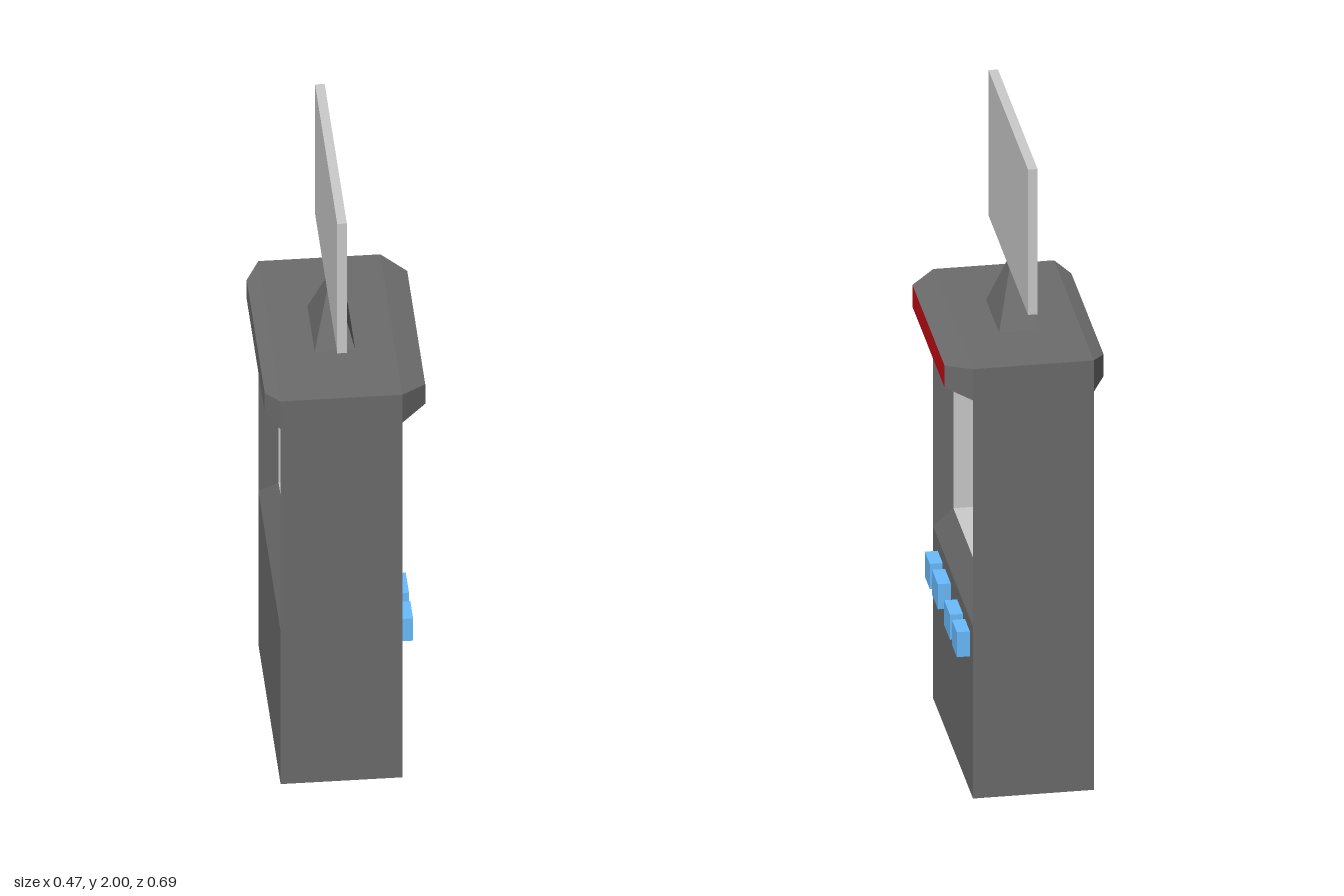
import * as THREE from 'three';

const paint = (color) => new THREE.MeshStandardMaterial({ color, flatShading: true });
const dark = paint(0x6c6c6c), light = paint(0xcccccc), red = paint(0xc30d12), blue = paint(0x69bdff);

// Rectangle in the plane x, corners counter-clockwise seen from +x
const section = (x, y0, y1, z0, z1) =>
  [[x, y0, z1], [x, y0, z0], [x, y1, z0], [x, y1, z1]];

// Four quads joining two sections: they face outward when a has the lower x, inward otherwise
const band = (a, b) => a.map((p, i) => [p, a[(i + 1) % 4], b[(i + 1) % 4], b[i]]);

function quadMesh(name, quads, material) {
  const pos = quads.flatMap(([a, b, c, d]) => [a, b, c, a, c, d]).flat();
  const g = new THREE.BufferGeometry();
  g.setAttribute('position', new THREE.Float32BufferAttribute(pos, 3));
  g.computeVertexNormals();
  const mesh = new THREE.Mesh(g, material);
  mesh.name = name;
  return mesh;
}

function box(name, x0, x1, y0, y1, z0, z1, material) {
  const mesh = new THREE.Mesh(new THREE.BoxGeometry(x1 - x0, y1 - y0, z1 - z0), material);
  mesh.position.set((x0 + x1) / 2, (y0 + y1) / 2, (z0 + z1) / 2);
  mesh.name = name;
  return mesh;
}

export function createModel() {
  const model = new THREE.Group();
  model.name = 'kiosk';
  const X0 = -0.195, X1 = 0.16, H = 1.375, Z = 0.345;

  // Cabinet: outer shell plus the flat panels below the window
  const panel = (x) => section(x, 0, 0.55, -Z, Z);
  model.add(quadMesh('cabinet', [
    ...band(section(X0, 0, H, -Z, Z), section(X1, 0, H, -Z, Z)),
    panel(X1), panel(X0).reverse(),
  ], dark));

  // Window: bevelled frame on both faces, pale tunnel between them
  const rim = (x) => section(x, 0.55, 1.275, -Z, Z);
  const opening = (x) => section(x, 0.645, 1.18, -0.25, 0.26);
  const T0 = X0 + 0.05, T1 = X1 - 0.045;
  model.add(quadMesh('windowBevels', [
    ...band(rim(X1), opening(T1)), ...band(opening(T0), rim(X0)),
  ], dark));
  model.add(quadMesh('windowTunnel', band(opening(T1), opening(T0)), light));

  // Tapered header on each face, with a red sign on the +x one
  const root = (x) => section(x, 1.275, H, -Z, Z);
  const tip = (x) => section(x, 1.29, 1.36, -0.277, 0.28);
  model.add(quadMesh('signHeader', band(root(X1), tip(0.232)), dark));
  model.add(quadMesh('redSign', [tip(0.232)], red));
  model.add(quadMesh('plainHeader', [
    ...band(tip(-0.235), root(X0)), tip(-0.235).reverse(),
  ], dark));

  // Buttons
  [[0.18, 0.265], [0.04, 0.14], [-0.17, -0.07], [-0.29, -0.205]].forEach(([z0, z1], i) =>
    model.add(box(`button${i + 1}`, X1 - 0.01, 0.198, 0.43, 0.51, z0, z1, blue)));

  // Tapered stand: a box whose top is pinched
  const stand = box('stand', -0.074, 0.044, H, 1.535, -0.113, 0.113, dark);
  const p = stand.geometry.attributes.position;
  for (let i = 0; i < p.count; i++) {
    if (p.getY(i) > 0) p.setXYZ(i, p.getX(i) * 0.24, p.getY(i), p.getZ(i) * 0.23);
  }
  stand.geometry.computeVertexNormals();
  model.add(stand);

  // Flat board on top
  model.add(box('topBoard', -0.03, -0.002, 1.535, 2, -0.343, 0.343, light));
  return model;
}
